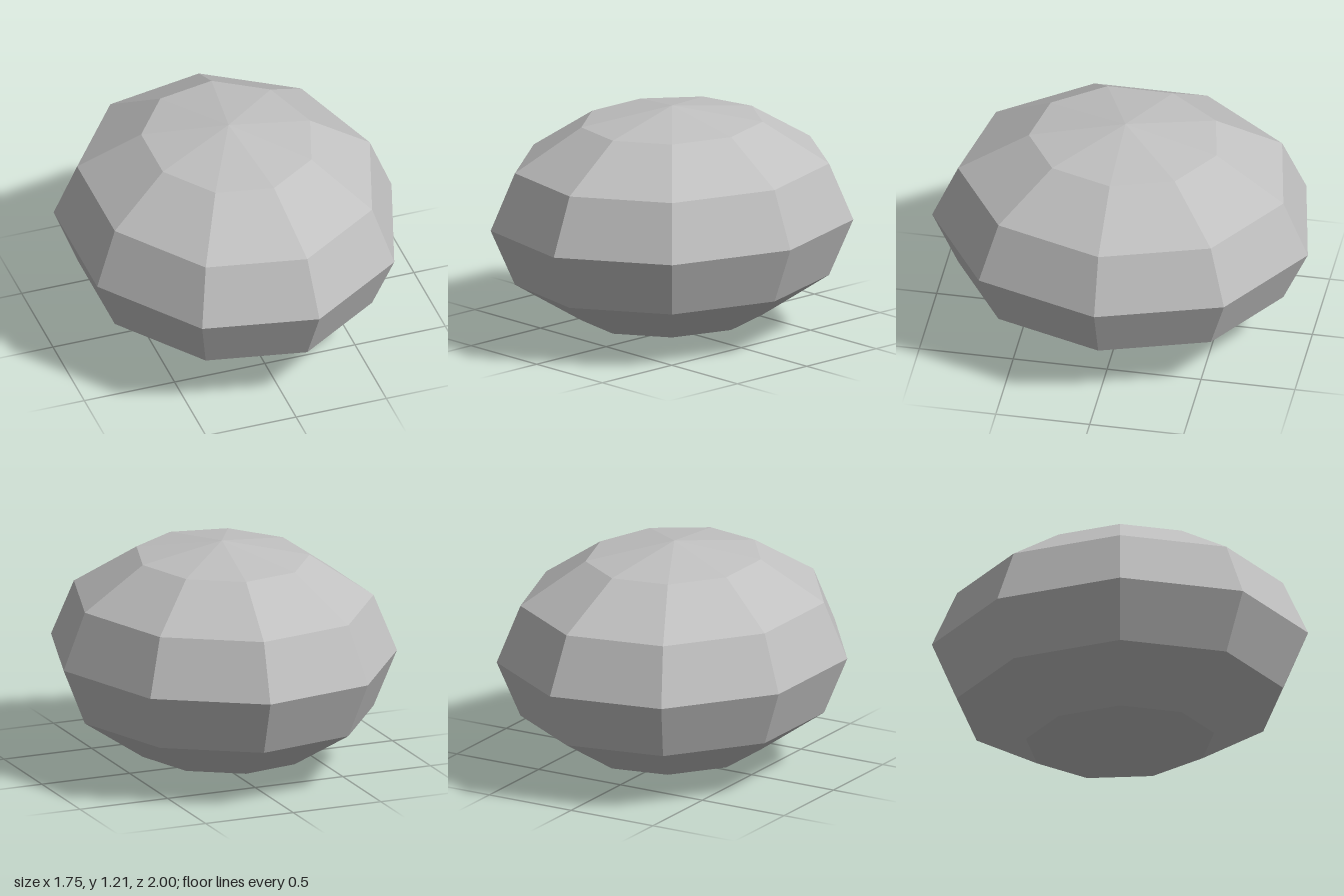
import * as THREE from 'three';

export function createModel() {
  const group = new THREE.Group();
  group.name = 'stone';

  const stoneGrey = new THREE.MeshStandardMaterial({ color: 0xc0c0c0, flatShading: true });
  stoneGrey.name = 'stone grey';

  // Faceted ellipsoid: nine sides, six bands, one corner pointing to +x
  const geometry = new THREE.SphereGeometry(1, 9, 6, Math.PI);
  geometry.scale(0.903, 0.605, 1.0154);
  // Nine sides are uneven in x, so shift to centre the outline
  geometry.translate(-0.027, 0.605, 0);

  const body = new THREE.Mesh(geometry, stoneGrey);
  body.name = 'stoneBody';
  group.add(body);
  return group;
}
